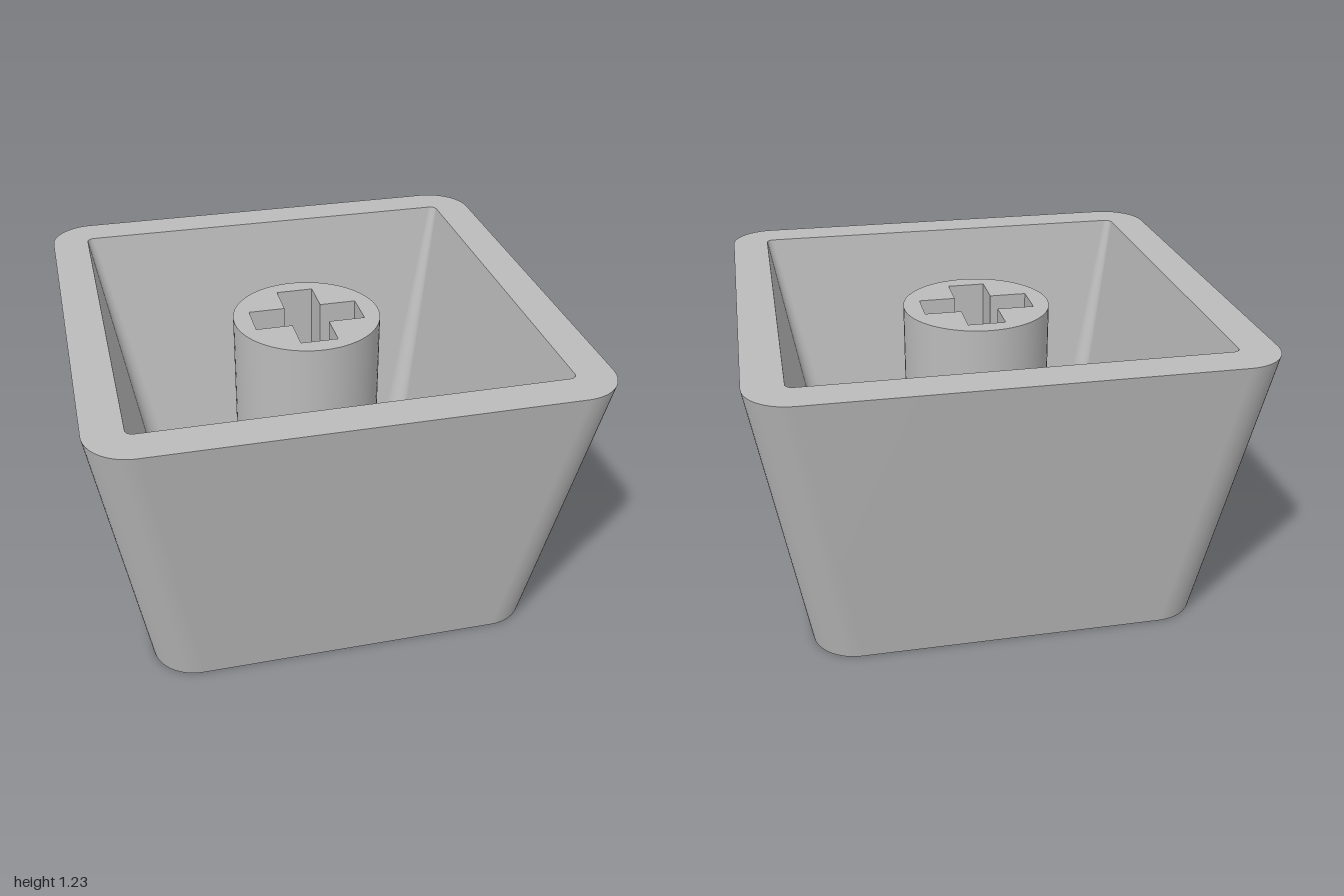
import * as THREE from 'three';
import { toCreasedNormals } from 'three/addons/utils/BufferGeometryUtils.js';

const HEIGHT = 1.225, FLOOR = 0.16, STEM_TOP = 1.16;

// Counter-clockwise rounded rectangle in (x, z); front is the z of its front edge
function roundedRect(half, radius, front = half) {
  const points = [];
  const corners = [[1, 1, half, front], [-1, 1, half, front], [-1, -1, half, half], [1, -1, half, half]];
  corners.forEach(([sx, sz, x, z], c) => {
    for (let i = 0; i <= 16; i++) {
      const a = (c + i / 16) * Math.PI / 2;
      points.push(new THREE.Vector2(
        sx * (x - radius) + radius * Math.cos(a), sz * (z - radius) + radius * Math.sin(a)));
    }
  });
  return points;
}

// Wall between two matching outlines, facing outward or inward
function wall(lower, y0, upper, y1, inward = false, creased = false) {
  const n = lower.length, positions = [], index = [];
  for (let i = 0; i < n; i++) {
    positions.push(lower[i].x, y0, lower[i].y, upper[i].x, y1, upper[i].y);
    const a = 2 * i, b = a + 1, c = 2 * ((i + 1) % n), d = c + 1;
    index.push(...(inward ? [a, c, b, b, c, d] : [a, b, c, b, d, c]));
  }
  const geometry = new THREE.BufferGeometry();
  geometry.setAttribute('position', new THREE.Float32BufferAttribute(positions, 3));
  geometry.setIndex(index);
  geometry.computeVertexNormals();
  return creased ? toCreasedNormals(geometry, 0.6) : geometry;
}

// Flat horizontal face with holes, facing up or down
function face(outline, holes, y, up) {
  const shape = new THREE.Shape(outline);
  shape.holes = holes.map(h => new THREE.Path(h));
  const geometry = new THREE.ShapeGeometry(shape).rotateX(Math.PI / 2).translate(0, y, 0);
  if (up) {
    geometry.setIndex(Array.from(geometry.index.array).reverse());
    geometry.computeVertexNormals();
  }
  return geometry;
}

// Cutout through the floor: a short bar, a thin neck, a dome and a foot
function cutoutOutline() {
  const q = Math.PI / 2, s = new THREE.Path();
  s.moveTo(0.035, 0.225);
  s.lineTo(0.11, 0.225);
  s.absarc(0.11, 0.1825, 0.0425, q, -q, true);
  s.lineTo(-0.11, 0.14);
  s.absarc(-0.11, 0.1825, 0.0425, -q, -3 * q, true);
  s.lineTo(-0.035, 0.225);
  s.absarc(0, 0.45, 0.2, -q - 0.176, -2 * q, true);
  s.absarc(-0.165, 0.48, 0.035, 2 * q, 0.5, true);
  s.lineTo(-0.125, 0.497);
  s.lineTo(-0.125, 0.645);
  s.lineTo(0.125, 0.645);
  s.lineTo(0.125, 0.497);
  s.absarc(0.165, 0.48, 0.035, 2 * q - 0.5, 0, true);
  s.absarc(0, 0.45, 0.2, 0, -q + 0.176, true);
  return s.getPoints(16).reverse();
}

// Plus-shaped socket outline
function crossOutline(arm, w) {
  return [[arm, -w], [arm, w], [w, w], [w, arm], [-w, arm], [-w, w], [-arm, w], [-arm, -w],
    [-w, -w], [-w, -arm], [w, -arm], [w, -w]].map(([x, z]) => new THREE.Vector2(x, z));
}

export function createModel() {
  const model = new THREE.Group();
  const grey = new THREE.MeshStandardMaterial({ color: 0xbbbbbb });
  grey.name = 'grey';
  const add = (name, geometry) => {
    const mesh = new THREE.Mesh(geometry, grey);
    mesh.name = name;
    model.add(mesh);
  };

  // Tapered shell
  const base = roundedRect(0.805, 0.18), rim = roundedRect(1, 0.18);
  const mouth = roundedRect(0.845, 0.03), floor = roundedRect(0.65, 0.08, 0.665);
  const cutout = cutoutOutline();
  add('outerWall', wall(base, 0, rim, HEIGHT));
  add('rim', face(rim, [mouth], HEIGHT, true));
  add('innerWall', wall(floor, FLOOR, mouth, HEIGHT, true));

  // Floor slab with the cutout
  add('floor', face(floor, [cutout], FLOOR, true));
  add('underside', face(base, [cutout], 0, false));
  add('cutoutWall', wall(cutout, 0, cutout, FLOOR, true, true));

  // Round stem with a plus-shaped socket
  const circle = new THREE.Path().absarc(0, 0, 0.31, 0, Math.PI * 2).getPoints(32).slice(0, -1);
  const cross = crossOutline(0.232, 0.078);
  add('stemWall', wall(circle, FLOOR, circle, STEM_TOP));
  add('stemTop', face(circle, [cross], STEM_TOP, true));
  add('stemBottom', face(circle, [cross], FLOOR, false));
  add('socketWall', wall(cross, FLOOR, cross, STEM_TOP, true, true));

  return model;
}
